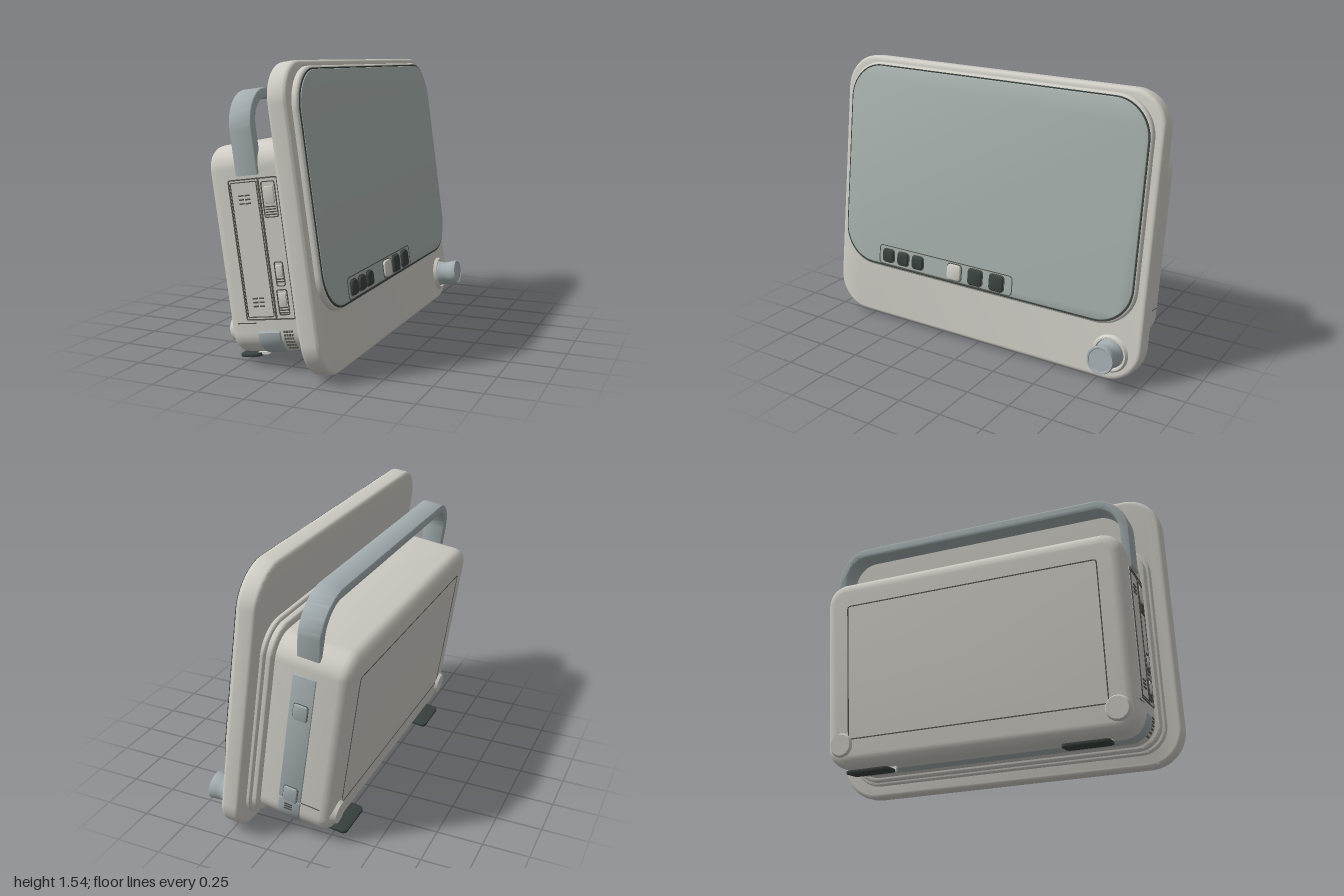
import * as THREE from 'three';
import { toCreasedNormals } from 'three/addons/utils/BufferGeometryUtils.js';

const mat = (color) => new THREE.MeshStandardMaterial({ color });
const BODY = mat(0xcfcdc5), BAND = mat(0xa3adb0), SCREEN = mat(0xa6b0ac), DARK = mat(0x39423f), SEAM = mat(0x55554f);

function add(parent, name, geometry, material, x = 0, y = 0, z = 0) {
  const mesh = new THREE.Mesh(geometry, material);
  mesh.name = name;
  mesh.position.set(x, y, z);
  parent.add(mesh);
  return mesh;
}

// Rounded rectangle centred on the origin
function rounded(path, w, h, r) {
  const x = w / 2, y = h / 2, q = Math.PI / 2;
  path.moveTo(x, -y + r);
  path.absarc(x - r, y - r, r, 0, q);
  path.absarc(-x + r, y - r, r, q, 2 * q);
  path.absarc(-x + r, -y + r, r, 2 * q, 3 * q);
  path.absarc(x - r, -y + r, r, 3 * q, 4 * q);
  path.closePath();
  return path;
}

// Extrude with bevels kept inside the depth
function extrude(shape, depth, bevel, segments = 4) {
  return toCreasedNormals(new THREE.ExtrudeGeometry(shape, {
    depth: depth - 2 * bevel, bevelEnabled: bevel > 0, bevelSize: bevel, bevelThickness: bevel,
    bevelSegments: segments, curveSegments: 12,
  }).translate(0, 0, bevel), 0.6);
}

// Rounded slab seen from the screen side: spans x0..x1 in depth, y0..y1 and z0..z1 across
function slab(parent, name, [x0, x1], [y0, y1], [z0, z1], r, bevel, material) {
  const shape = rounded(new THREE.Shape(), z1 - z0 - 2 * bevel, y1 - y0 - 2 * bevel, Math.max(r - bevel, 0.004));
  return add(parent, name, extrude(shape, x1 - x0, bevel).rotateY(Math.PI / 2), material, x0, (y0 + y1) / 2, (z0 + z1) / 2);
}

// Rounded plate lying on a side wall, its outer face at z = side * z1
function sidePlate(parent, name, side, [x0, x1], [y0, y1], z0, z1, r, bevel, material) {
  const shape = rounded(new THREE.Shape(), x1 - x0 - 2 * bevel, y1 - y0 - 2 * bevel, Math.max(r - bevel, 0.003));
  const geo = extrude(shape, z1 - z0, bevel, 2).translate(0, 0, z0);
  if (side < 0) geo.rotateY(Math.PI);
  return add(parent, name, geo, material, (x0 + x1) / 2, (y0 + y1) / 2, 0);
}

// Thin rectangular ring used for seams
function ring(w, h, r, t, depth) {
  const shape = rounded(new THREE.Shape(), w, h, r);
  shape.holes.push(rounded(new THREE.Path(), w - 2 * t, h - 2 * t, Math.max(r - t, 0.002)));
  return extrude(shape, depth, 0);
}

// U-shaped strap over the body width, legs pointing down from y = 0
function strap(half, leg, r, t, depth, bevel) {
  const s = new THREE.Shape(), a = half - bevel, b = half - t + bevel, top = -bevel, ri = r - t, q = Math.PI / 2;
  s.moveTo(a, -leg);
  s.absarc(a - (r - bevel), top - (r - bevel), r - bevel, 0, q);
  s.absarc(-a + (r - bevel), top - (r - bevel), r - bevel, q, 2 * q);
  s.lineTo(-a, -leg);
  s.lineTo(-b, -leg);
  s.absarc(-b + ri, -t + bevel - ri, ri, 2 * q, q, true);
  s.absarc(b - ri, -t + bevel - ri, ri, q, 0, true);
  s.lineTo(b, -leg);
  s.closePath();
  return extrude(s, depth, bevel).rotateY(Math.PI / 2);
}

export function createModel() {
  const root = new THREE.Group();
  root.name = 'tiltedMonitor';
  const m = new THREE.Group();
  m.name = 'monitor';
  m.rotation.z = 0.139; // leans back
  root.add(m);

  // Rear housing, stepped collar and front panel
  slab(m, 'rearHousing', [-0.265, 0.25], [0.09, 1.155], [-0.868, 0.868], 0.12, 0.06, BODY);
  slab(m, 'collar', [0.132, 0.2], [0.068, 1.192], [-0.9, 0.9], 0.14, 0.015, BODY);
  slab(m, 'collarStep', [0.165, 0.21], [0.05, 1.21], [-0.92, 0.92], 0.15, 0.012, BODY);
  slab(m, 'frontPanel', [0.188, 0.294], [-0.018, 1.52], [-1, 1], 0.2, 0.022, BODY);

  // Raised bezel, gasket and screen
  slab(m, 'bezel', [0.26, 0.326], [0.288, 1.488], [-0.95, 0.95], 0.21, 0.018, BODY);
  slab(m, 'screenGasket', [0.3, 0.329], [0.3, 1.476], [-0.938, 0.938], 0.205, 0, DARK);
  slab(m, 'screen', [0.3, 0.334], [0.31, 1.469], [-0.93, 0.93], 0.2, 0.004, SCREEN);

  // Button strip
  add(m, 'buttonStripOutline', ring(0.915, 0.118, 0.025, 0.005, 0.003).rotateY(Math.PI / 2), SEAM, 0.333, 0.37, 0.222);
  for (const [z, size, material] of [[0.61, 0.075, DARK], [0.505, 0.075, DARK], [0.4, 0.075, DARK],
    [0.145, 0.09, BODY], [0.005, 0.09, DARK], [-0.135, 0.09, DARK]]) {
    const h = size / 2;
    slab(m, 'buttonRim', [0.325, 0.337], [0.369 - h - 0.005, 0.369 + h + 0.005], [z - h - 0.005, z + h + 0.005], 0.022, 0, SEAM);
    slab(m, 'button', [0.325, 0.35], [0.369 - h, 0.369 + h], [z - h, z + h], 0.02, 0.007, material);
  }

  // Rotary knob
  const lathe = (pts) => new THREE.LatheGeometry(pts.map((p) => new THREE.Vector2(...p)), 40).rotateZ(-Math.PI / 2);
  add(m, 'knobBase', toCreasedNormals(lathe([[0.112, -0.01], [0.1, 0.008], [0.093, 0.022], [0.084, 0.022], [0.08, 0.006], [0, 0.006]]), 0.6),
    BODY, 0.29, 0.133, -0.83);
  add(m, 'knob', toCreasedNormals(lathe([[0.078, 0], [0.074, 0.03], [0.066, 0.05], [0.071, 0.09], [0.076, 0.124], [0.073, 0.132],
    [0.064, 0.132], [0.061, 0.128], [0, 0.128]]), 0.6), BAND, 0.292, 0.133, -0.83);

  // Carrying handle and the band it continues into
  add(m, 'handle', strap(0.882, 0.41, 0.2, 0.055, 0.125, 0.01), BAND, -0.097, 1.42, 0);
  const lower = strap(0.876, 0.165, 0.125, 0.04, 0.125, 0.006).rotateX(Math.PI);
  add(m, 'lowerBand', lower, BAND, -0.097, 0.085, 0);
  sidePlate(m, 'sideBand', -1, [-0.097, 0.028], [0.262, 0.998], 0.84, 0.876, 0.004, 0.003, BAND);
  for (const y of [0.8, 0.3]) {
    sidePlate(m, 'latchRim', -1, [-0.079, 0.005], [y - 0.047, y + 0.047], 0.86, 0.878, 0.015, 0, SEAM);
    sidePlate(m, 'latch', -1, [-0.075, 0.001], [y - 0.043, y + 0.043], 0.86, 0.888, 0.012, 0.006, BAND);
  }
  for (let i = 0; i < 3; i++) sidePlate(m, 'bandVent', -1, [-0.055, -0.01], [0.2 + i * 0.014, 0.207 + i * 0.014], 0.86, 0.88, 0.003, 0, SEAM);

  // Port panel on the near side
  const face = 0.868;
  sidePlate(m, 'portPanel', 1, [-0.15, 0.127], [0.277, 0.985], 0.84, face + 0.003, 0.012, 0, BODY);
  add(m, 'portPanelSeam', ring(0.277, 0.708, 0.012, 0.007, 0.004), SEAM, -0.0115, 0.631, face + 0.002);
  add(m, 'modulePanelSeam', ring(0.15, 0.68, 0.01, 0.005, 0.004), SEAM, -0.065, 0.631, face + 0.002);
  sidePlate(m, 'portDivider', 1, [0.014, 0.024], [0.28, 0.982], 0.86, face + 0.006, 0.003, 0, SEAM);
  for (const y of [0.883, 0.368]) for (let row = 0; row < 3; row++) for (const x of [-0.085, -0.05])
    add(m, 'modulePanelVent', new THREE.BoxGeometry(0.027, 0.007, 0.01), SEAM, x, y + (row - 1) * 0.02, face + 0.003);

  // Connector sockets: outline, cover and ribs
  for (const [x, y, w, h, ribs] of [[0.07, 0.875, 0.078, 0.18, 4], [0.07, 0.505, 0.05, 0.125, 2], [0.068, 0.364, 0.06, 0.13, 3]]) {
    add(m, 'socketOutline', ring(w, h, 0.012, 0.005, 0.005), SEAM, x, y, face + 0.002);
    sidePlate(m, 'socketCover', 1, [x - w * 0.36, x + w * 0.36], [y - h * 0.12, y + h * 0.36], 0.86, face + 0.012, 0.008, 0.004, BODY);
    for (let i = 0; i < ribs; i++)
      add(m, 'socketRib', new THREE.BoxGeometry(w * 0.72, 0.006, 0.012), SEAM, x, y - h * 0.2 - i * 0.013, face + 0.003);
  }

  // Speaker grille following the rounded lower corner
  for (let i = 0; i < 6; i++) for (let j = 0; j < 4; j++) {
    const y = 0.125 + i * 0.018, drop = Math.max(0, 0.21 - y);
    const z = 0.748 + Math.sqrt(0.0144 - drop * drop);
    add(m, 'grilleSlot', new THREE.BoxGeometry(0.009, 0.01, 0.008), SEAM, 0.05 + j * 0.014, y, z);
  }

  // Rear door seam, housing seams and corner bosses
  add(m, 'rearDoorSeam', ring(1.46, 0.77, 0.02, 0.006, 0.004).rotateY(Math.PI / 2), SEAM, -0.267, 0.625, 0);
  for (const s of [-1, 1]) {
    add(m, 'housingSeam', new THREE.BoxGeometry(0.105, 0.005, 0.006), SEAM, -0.153, 0.262, s * 0.867);
    const boss = new THREE.CylinderGeometry(0.058, 0.072, 0.03, 32).rotateZ(Math.PI / 2);
    add(m, 'cornerBoss', boss, BODY, -0.268, 0.215, s * 0.77);
  }

  // Feet: curved hinge bracket and pad
  const arm = new THREE.Shape();
  arm.moveTo(-0.215, 0.052);
  arm.lineTo(-0.165, 0.052);
  arm.quadraticCurveTo(-0.132, 0.054, -0.132, 0.085);
  arm.lineTo(-0.132, 0.11);
  arm.lineTo(-0.148, 0.11);
  arm.lineTo(-0.148, 0.085);
  arm.quadraticCurveTo(-0.15, 0.068, -0.168, 0.066);
  arm.lineTo(-0.215, 0.066);
  for (const s of [-1, 1]) {
    add(m, 'footBracket', extrude(arm, 0.2, 0), BODY, 0, 0, s * 0.6 - 0.1);
    const pad = extrude(rounded(new THREE.Shape(), 0.115, 0.24, 0.025), 0.018, 0.004, 2).rotateX(-Math.PI / 2);
    add(m, 'footPad', pad, DARK, -0.252, 0.046, s * 0.6);
  }
  return root;
}
